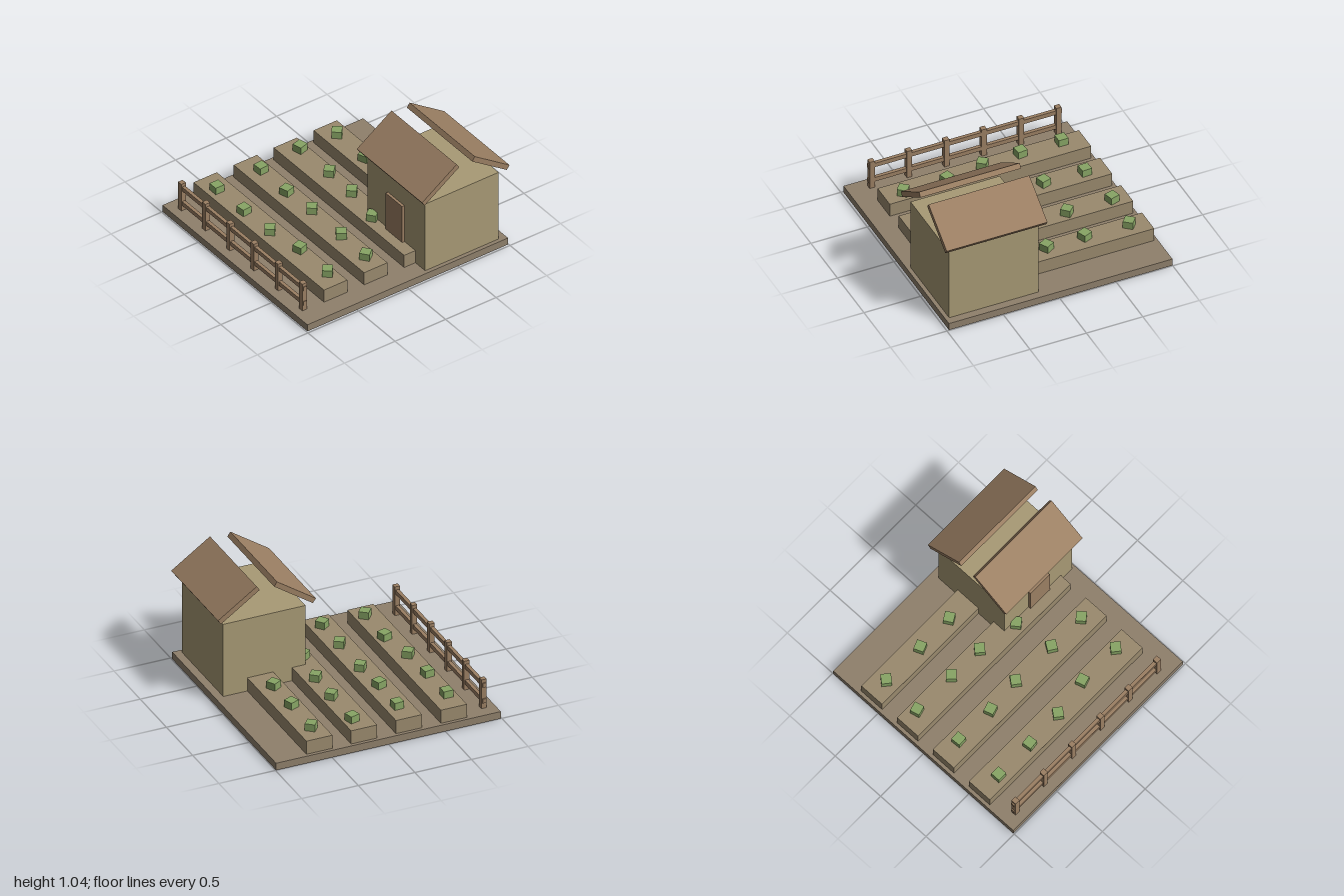
import * as THREE from 'three';

const mat = (color) => new THREE.MeshStandardMaterial({ color, flatShading: true });

export function createModel() {
  const model = new THREE.Group();
  model.name = 'gardenPlot';
  const soil = mat(0x8f806c), bedSoil = mat(0x9a8a6e), wood = mat(0x9b7f63);
  const wall = mat(0xa89a75), leaf = mat(0x88a565);

  // Box by size and centre
  const box = (name, material, size, pos, parent = model) => {
    const mesh = new THREE.Mesh(new THREE.BoxGeometry(...size), material);
    mesh.name = name;
    mesh.position.set(...pos);
    parent.add(mesh);
    return mesh;
  };
  const group = (name) => {
    const g = new THREE.Group();
    g.name = name;
    model.add(g);
    return g;
  };

  const ground = 0.065;
  box('ground', soil, [1.98, ground, 1.985], [-0.01, ground / 2, -0.002]);

  // Raised beds, each with five plants: [x, z, turn in degrees]
  const bedTop = 0.186, plantSize = 0.085, plantTop = 0.25;
  const rows = [
    [-0.598, [[-0.805, -0.594, -40], [-0.414, -0.588, 22], [-0.075, -0.588, 30], [0.29, -0.6, 20], [0.65, -0.6, -15]]],
    [-0.203, [[-0.82, -0.24, 15], [-0.42, -0.24, 45], [-0.1, -0.23, -41], [0.265, -0.17, 37], [0.65, -0.26, 0]]],
    [0.193, [[-0.776, 0.178, 3], [-0.414, 0.187, 17], [-0.098, 0.166, -38], [0.313, 0.173, -33], [0.655, 0.178, 38]]],
    [0.59, [[-0.774, 0.616, 0], [-0.409, 0.614, 6], [-0.067, 0.604, -38], [0.27, 0.552, 17], [0.655, 0.557, -40]]],
  ];
  for (const [z, plants] of rows) {
    const row = group('plantedRow');
    box('raisedBed', bedSoil, [1.783, bedTop - ground, 0.23], [-0.079, (bedTop + ground) / 2, z], row);
    for (const [px, pz, turn] of plants) {
      const h = plantTop - bedTop;
      box('plant', leaf, [plantSize, h, plantSize], [px, bedTop + h / 2, pz], row)
        .rotation.y = THREE.MathUtils.degToRad(turn);
    }
  }

  // Shed with a flat-topped body, a door and two separate roof panels
  const shed = group('shed');
  const shedZ = -0.5625, shedTop = 0.731;
  box('shedWalls', wall, [0.79, shedTop - ground, 0.727], [0.551, (shedTop + ground) / 2, shedZ], shed);
  box('door', wood, [0.225, 0.48, 0.03], [0.551, ground + 0.24, -0.191], shed);
  for (const s of [1, -1]) {
    box('roofPanel', wood, [0.892, 0.046, 0.415], [0.553, 0.904, shedZ + s * 0.248], shed)
      .rotation.x = s * 0.6;
  }

  // Fence along the front edge
  const fence = group('fence');
  const fenceZ = 0.892;
  for (let i = 0; i < 6; i++) {
    box('fencePost', wood, [0.045, 0.265, 0.045], [-0.871 + i * 0.3306, ground + 0.1325, fenceZ], fence);
  }
  for (const y of [0.136, 0.281]) {
    box('fenceRail', wood, [1.716, 0.039, 0.03], [-0.046, y, fenceZ], fence);
  }

  return model;
}
